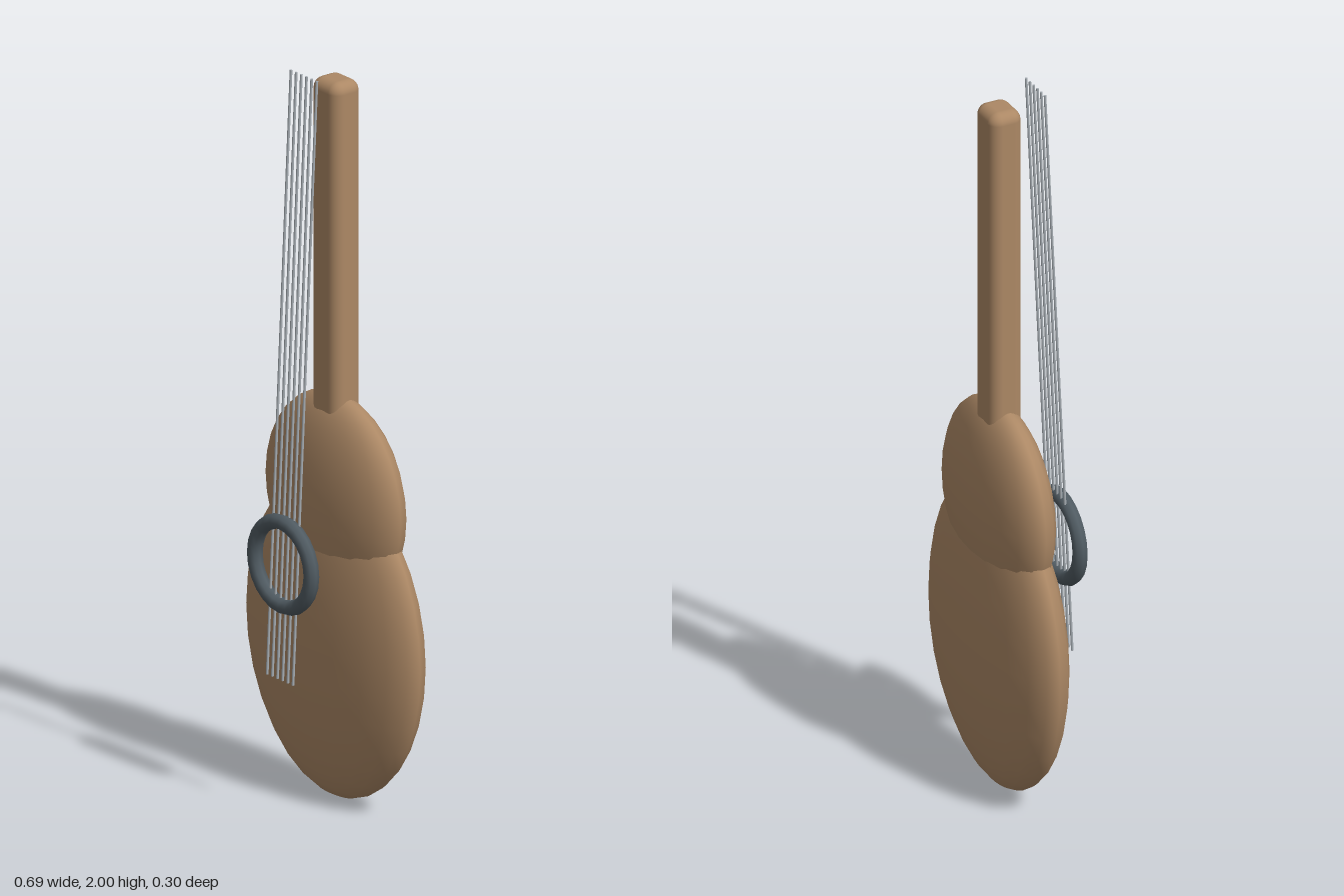
import * as THREE from 'three';
import { RoundedBoxGeometry } from 'three/addons/geometries/RoundedBoxGeometry.js';

export function createModel() {
  const model = new THREE.Group();
  model.name = 'guitar';

  const paint = (name, color) => {
    const material = new THREE.MeshStandardMaterial({ color });
    material.name = name;
    return material;
  };
  const wood = paint('light brown wood', 0xac8865);
  const slate = paint('dark slate', 0x505b62);
  const silver = paint('silver string', 0xa8afb5);

  const add = (name, geometry, material, x, y, z) => {
    const mesh = new THREE.Mesh(geometry, material);
    mesh.name = name;
    mesh.position.set(x, y, z);
    model.add(mesh);
    return mesh;
  };

  // Body: two flattened, overlapping ellipsoids
  const bodyZ = -0.048;
  const lobe = (rx, ry, rz) => new THREE.SphereGeometry(1, 20, 16).scale(rx, ry, rz);
  add('lowerBody', lobe(0.343, 0.437, 0.102), wood, 0, 0.438, bodyZ);
  add('upperBody', lobe(0.264, 0.283, 0.093), wood, 0, 0.822, bodyZ);

  // Neck, sunk into the upper body
  add('neck', new RoundedBoxGeometry(0.108, 0.94, 0.092, 4, 0.03), wood, 0, 1.5, bodyZ);

  // Ring floating in front of the body
  add('soundRing', new THREE.TorusGeometry(0.115, 0.0205, 8, 24), slate, 0, 0.674, 0.127);

  // Six slanted strings running through the ring
  const bottom = new THREE.Vector3(0, 0.36, 0.137);
  const top = new THREE.Vector3(0, 2, 0.058);
  const direction = top.clone().sub(bottom);
  const middle = top.clone().add(bottom).multiplyScalar(0.5);
  const stringGeometry = new THREE.CylinderGeometry(0.0036, 0.0036, direction.length(), 8);
  const lean = new THREE.Quaternion().setFromUnitVectors(
    new THREE.Vector3(0, 1, 0), direction.clone().normalize());
  for (let i = 0; i < 6; i++) {
    const string = add('string' + (i + 1), stringGeometry, silver, (i - 2.5) * 0.021, middle.y, middle.z);
    string.quaternion.copy(lean);
  }

  return model;
}
